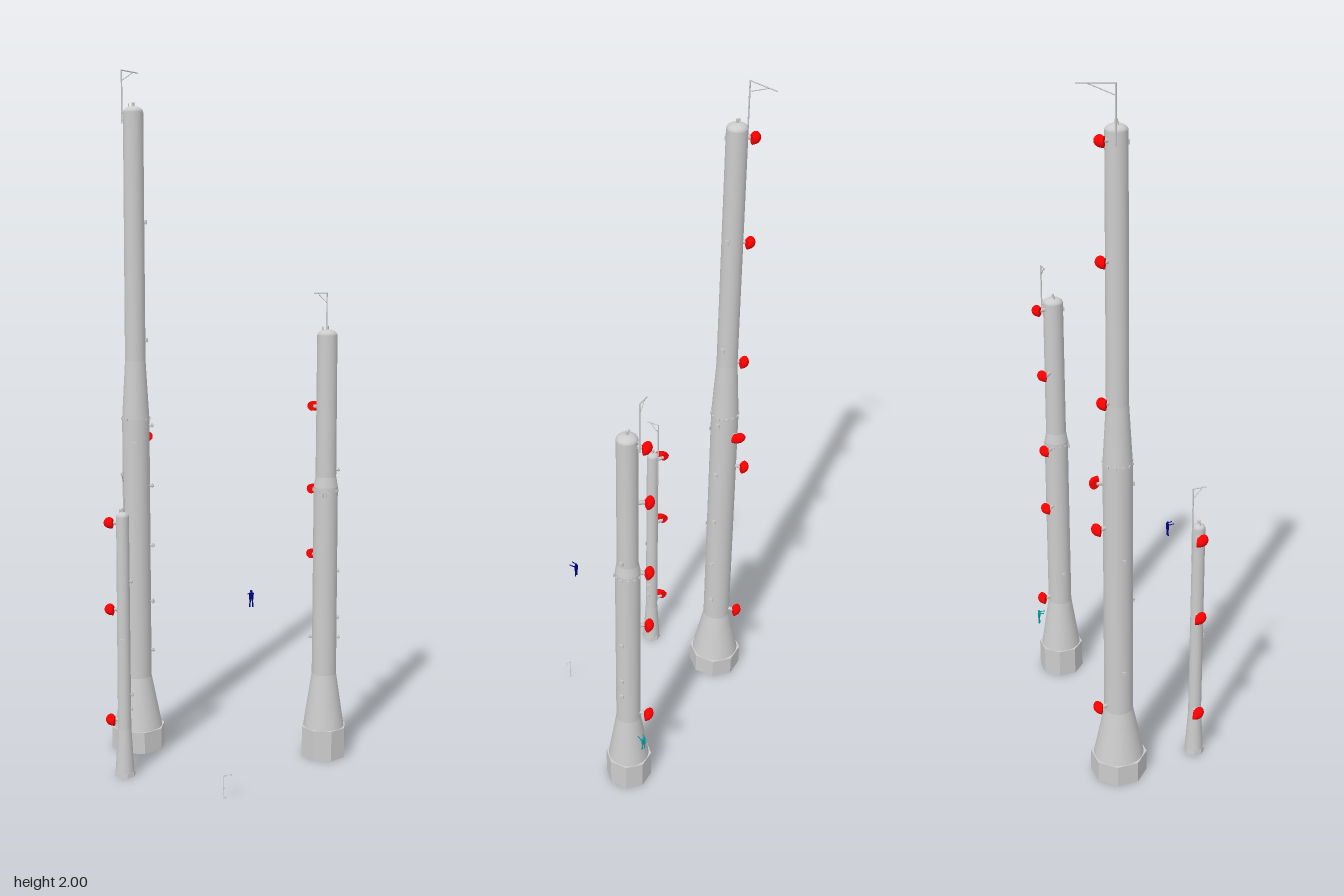
import * as THREE from 'three';

const material = (color) => new THREE.MeshStandardMaterial({ color, side: THREE.DoubleSide });
const grey = material(0xcccccc);
const red = material(0xff0000);
const navy = material(0x000080);
const teal = material(0x00a0a0);

function add(parent, name, geometry, mat, x = 0, y = 0, z = 0) {
  const mesh = new THREE.Mesh(geometry, mat);
  mesh.name = name;
  mesh.position.set(x, y, z);
  parent.add(mesh);
  return mesh;
}

// Straight round bar between two points
function bar(parent, name, from, to, radius, mat = grey) {
  const a = new THREE.Vector3(...from);
  const d = new THREE.Vector3(...to).sub(a);
  const mesh = add(parent, name, new THREE.CylinderGeometry(radius, radius, d.length(), 6), mat);
  mesh.position.copy(a).addScaledVector(d, 0.5);
  mesh.quaternion.setFromUnitVectors(new THREE.Vector3(0, 1, 0), d.normalize());
  return mesh;
}

// Solid of straight-sided rings, each band kept sharp at its edges
function column(parent, rings) {
  for (let i = 0; i + 1 < rings.length; i++) {
    const [r0, y0] = rings[i], [r1, y1] = rings[i + 1];
    add(parent, 'columnSection', new THREE.CylinderGeometry(r1, r0, y1 - y0, 32, 1, true), grey, 0, (y0 + y1) / 2, 0);
  }
}

// Eight-sided foot with flats facing the axes
function foot(parent, apothem, topApothem, height) {
  const k = Math.cos(Math.PI / 8);
  const g = new THREE.CylinderGeometry(topApothem / k, apothem / k, height, 8).rotateY(Math.PI / 8).toNonIndexed();
  g.computeVertexNormals();
  add(parent, 'octagonalFoot', g, grey, 0, height / 2, 0);
}

// Rounded cap with small knobs
function cap(parent, radius, y, height) {
  add(parent, 'domeCap', new THREE.SphereGeometry(radius, 32, 8, 0, Math.PI * 2, 0, Math.PI / 2), grey, 0, y, 0).scale.y = height / radius;
  add(parent, 'capKnob', new THREE.CylinderGeometry(0.004, 0.004, 0.02, 10), grey, 0, y + height, 0);
  add(parent, 'capPin', new THREE.CylinderGeometry(0.002, 0.002, 0.014, 8), grey, -radius * 0.45, y + height, 0);
}

// Red elbow pipe: a horizontal bend swept around its inner corner
function elbow(parent, x, y, z, middleDeg, sweepDeg = 105) {
  const group = new THREE.Group();
  group.name = 'elbowPipe';
  const r = 0.014, sweep = THREE.MathUtils.degToRad(sweepDeg);
  add(group, 'bend', new THREE.TorusGeometry(r * 1.03, r, 16, 10, sweep).rotateX(-Math.PI / 2), red);
  for (const t of [0, sweep]) {
    const lid = new THREE.CircleGeometry(r, 16).translate(r * 1.03, 0, 0).rotateY(t);
    add(group, 'bendEnd', lid, red);
  }
  group.position.set(x, y, z);
  group.rotation.y = THREE.MathUtils.degToRad(middleDeg) - sweep / 2;
  parent.add(group);
  // stub joining the bend to the column
  const len = Math.hypot(x, z), back = 0.02 / len;
  bar(parent, 'elbowStub', [x * (1 - back), y, z * (1 - back)], [x * (1 + back * 0.4), y, z * (1 + back * 0.4)], 0.006);
}

// Small fitting sticking out of the column wall
function lug(parent, angleDeg, y, wall, reach) {
  const a = THREE.MathUtils.degToRad(angleDeg), c = Math.cos(a), s = -Math.sin(a);
  bar(parent, 'lug', [c * (wall - 0.004), y, s * (wall - 0.004)], [c * (wall + reach), y, s * (wall + reach)], 0.004);
  const plate = add(parent, 'lugPlate', new THREE.BoxGeometry(0.003, 0.012, 0.012), grey, c * (wall + reach * 0.6), y, s * (wall + reach * 0.6));
  plate.rotation.y = a;
}

// Ring of studs around the wall
function studRing(parent, y, wall) {
  for (let i = 0; i < 12; i++) {
    const a = (i / 12) * Math.PI * 2;
    const stud = add(parent, 'stud', new THREE.BoxGeometry(0.006, 0.006, 0.006), grey, Math.cos(a) * wall, y, -Math.sin(a) * wall);
    stud.rotation.y = a;
  }
}

// Thin post with an arm and a diagonal brace
function mast(parent, x, z, y0, y1, dx, dz, drop) {
  bar(parent, 'mastPost', [x, y0, z], [x, y1, z], 0.0022);
  bar(parent, 'mastArm', [x, y1 - 0.001, z], [x + dx, y1 - 0.001, z + dz], 0.0017);
  bar(parent, 'mastBrace', [x, y1 - drop, z], [x + dx * 0.75, y1, z + dz * 0.75], 0.0013);
  for (const y of [y0 + 0.01, y0 + 0.03]) bar(parent, 'mastBracket', [x, y, z], [x * 0.6, y, z * 0.6], 0.002);
}

// Small standing figure, arms reaching forward
function figure(parent, name, mat, x, y, z, turn) {
  const g = new THREE.Group();
  g.name = name;
  add(g, 'head', new THREE.SphereGeometry(0.0038, 10, 8), mat, 0, 0.044, 0);
  add(g, 'torso', new THREE.BoxGeometry(0.011, 0.018, 0.006), mat, 0, 0.031, 0);
  for (const s of [-1, 1]) {
    bar(g, 'leg', [s * 0.003, 0.023, 0], [s * 0.004, 0, 0.001], 0.002, mat);
    bar(g, 'arm', [s * 0.006, 0.038, 0], [s * 0.008, 0.041, 0.018], 0.0015, mat);
  }
  g.position.set(x, y, z);
  g.rotation.y = turn;
  parent.add(g);
}

function tower(root, name, x, z) {
  const g = new THREE.Group();
  g.name = name;
  g.position.set(x, 0, z);
  root.add(g);
  return g;
}

export function createModel() {
  const model = new THREE.Group();
  model.name = 'towerGroup';

  // Tallest tower
  const tall = tower(model, 'tallTower', -0.275, -0.14);
  foot(tall, 0.0745, 0.0745, 0.065);
  column(tall, [[0.072, 0.065], [0.041, 0.22], [0.04, 1.0], [0.03, 1.17], [0.029, 1.88]]);
  cap(tall, 0.029, 1.88, 0.017);
  mast(tall, -0.035, -0.014, 1.85, 2.0, 0.032, -0.089, 0.03);
  for (const y of [1.86, 1.56, 1.18]) elbow(tall, -0.011, y, -0.032, 95);
  for (const y of [0.815, 0.24]) elbow(tall, -0.01, y, -0.05, 98);
  elbow(tall, 0.014, 0.94, -0.046, 48);
  for (const y of [0.3, 0.45, 0.62, 0.8, 0.98]) lug(tall, 0, y, 0.04, 0.012);
  for (const y of [0.36, 0.72]) lug(tall, 180, y, 0.04, 0.008);
  for (const y of [0.57, 0.93]) lug(tall, -90, y, 0.04, 0.008);
  for (const y of [1.23, 1.57]) lug(tall, 0, y, 0.029, 0.008);
  lug(tall, -90, 1.85, 0.029, 0.003);
  studRing(tall, 1.0, 0.04);

  // Middle tower
  const middle = tower(model, 'middleTower', 0.284, -0.128);
  foot(middle, 0.0625, 0.0625, 0.09);
  column(middle, [[0.06, 0.09], [0.036, 0.25], [0.035, 0.81], [0.03, 0.84], [0.029, 1.25]]);
  cap(middle, 0.029, 1.25, 0.017);
  mast(middle, -0.003, -0.035, 1.22, 1.37, -0.038, 0, 0.03);
  for (const y of [1.04, 0.795, 0.6]) elbow(middle, -0.031, y, -0.034, 105);
  elbow(middle, -0.008, 1.235, -0.038, 92);
  elbow(middle, -0.01, 0.27, -0.046, 92);
  for (const a of [0, 180]) lug(middle, a, 0.36, 0.035, 0.011);
  for (const y of [0.42, 0.56]) lug(middle, 0, y, 0.035, 0.008);
  lug(middle, 0, 0.86, 0.029, 0.012);
  for (const a of [-75, -105]) lug(middle, a, 0.79, 0.035, 0.006);
  lug(middle, -100, 1.23, 0.029, 0.003);
  studRing(middle, 0.8, 0.035);

  // Short tower
  const short = tower(model, 'shortTower', -0.275, 0.098);
  foot(short, 0.028, 0.027, 0.012);
  column(short, [[0.027, 0.012], [0.019, 0.14], [0.018, 0.755]]);
  cap(short, 0.018, 0.755, 0.014);
  mast(short, 0, -0.019, 0.65, 0.88, 0, 0.038, 0.03);
  for (const y of [0.735, 0.485, 0.16]) elbow(short, -0.028, y, -0.014, 208, 120);
  for (const y of [0.2, 0.24, 0.57]) lug(short, 0, y, 0.018, 0.008);
  lug(short, -90, 0.4, 0.018, 0.004);

  // Small figures
  figure(model, 'floatingFigure', navy, 0.092, 0.523, 0.159, 0);
  figure(model, 'climbingFigure', teal, 0.308, 0.158, -0.192, -0.5);

  // Slender frame on the ground in front
  const frame = tower(model, 'slenderFrame', 0.024, 0.237);
  bar(frame, 'framePost', [0, 0, 0], [0, 0.066, 0], 0.0008);
  bar(frame, 'frameArm', [0, 0.066, 0], [0.02, 0.07, 0], 0.0008);
  for (const [x, y] of [[0, 0.003], [0.005, 0.003], [0, 0.03], [0.004, 0.066], [0.02, 0.07]]) {
    add(frame, 'frameKnob', new THREE.SphereGeometry(0.0026, 10, 8), grey, x, y, 0);
  }
  return model;
}
